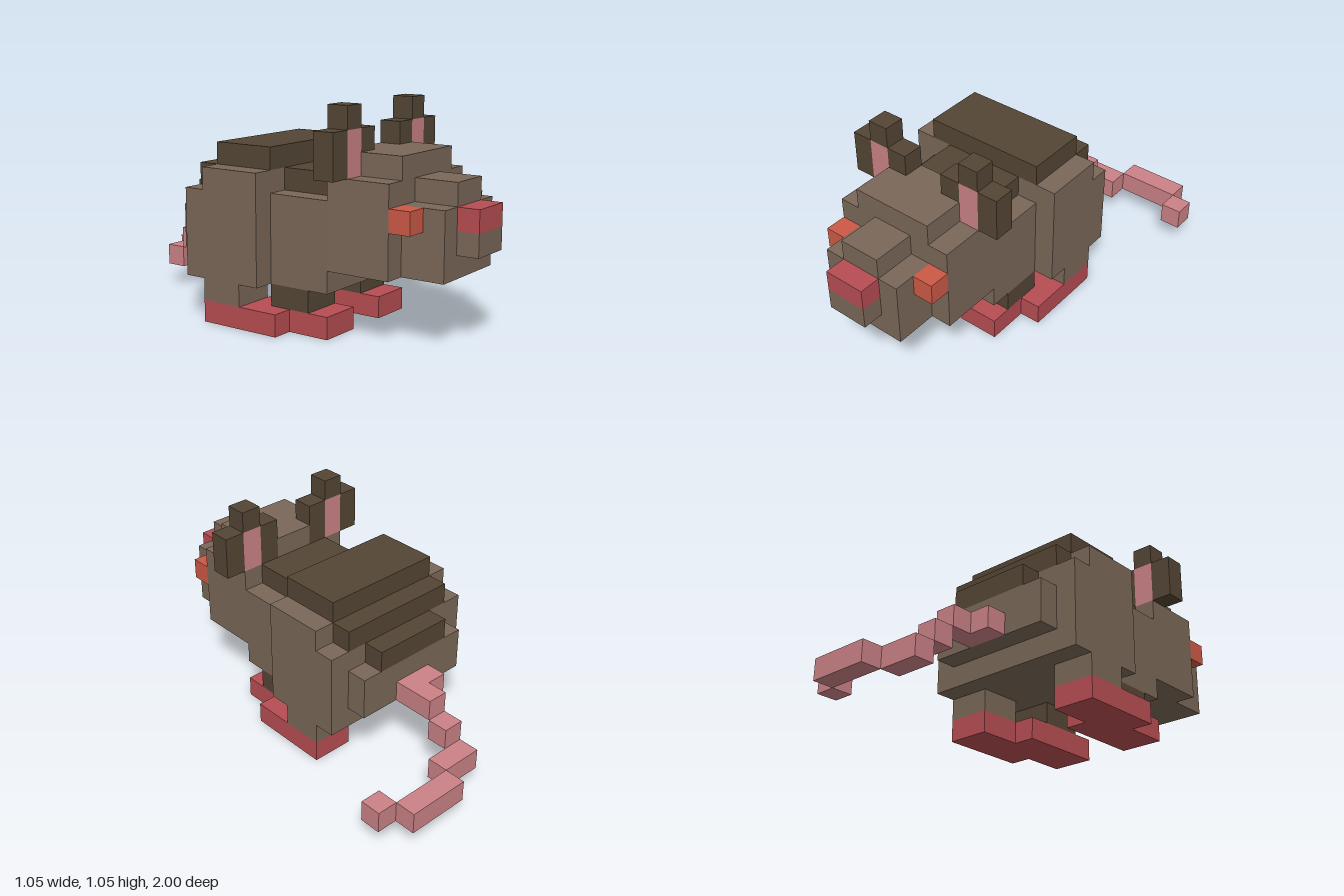
import * as THREE from 'three';

const U = 2 / 19; // one block

const mat = (name, color) => {
  const m = new THREE.MeshStandardMaterial({ color });
  m.name = name;
  return m;
};

export function createModel() {
  const root = new THREE.Group();
  root.name = 'blockRodent';

  const fur = mat('brown fur', 0x7a6758);
  const dark = mat('dark fur', 0x534534);
  const pink = mat('pink skin', 0xca8186);
  const red = mat('red paws and nose', 0xb64d52);
  const orange = mat('orange eyes', 0xcc5946);

  // Box from block ranges: x, y, and k = blocks counted back from the nose tip
  const block = (name, m, x0, x1, y0, y1, k0, k1) => {
    const g = new THREE.BoxGeometry((x1 - x0) * U, (y1 - y0) * U, (k1 - k0) * U);
    const mesh = new THREE.Mesh(g, m);
    mesh.position.set((x0 + x1) / 2 * U, (y0 + y1) / 2 * U, 1 - (k0 + k1) / 2 * U);
    mesh.name = name;
    root.add(mesh);
  };
  // The body is symmetric about x = -1
  const centred = (name, m, w, ...r) => block(name, m, -1 - w / 2, -1 + w / 2, ...r);
  const pair = (name, m, x0, x1, ...r) => {
    block(name + 'Left', m, x0, x1, ...r);
    block(name + 'Right', m, -2 - x1, -2 - x0, ...r);
  };

  // Head
  centred('noseTip', red, 2, 5, 6, 0, 1);
  centred('mouth', fur, 2, 4, 5, 0, 1);
  centred('muzzle', fur, 4, 3, 6, 1, 3);
  centred('noseBridge', fur, 2, 6, 7, 1, 3);
  centred('head', fur, 6, 3, 7, 3, 6);
  centred('crown', fur, 4, 7, 8, 3, 5);
  centred('crownBack', fur, 2, 7, 8, 5, 6);
  pair('eye', orange, 1, 2, 5, 6, 2, 3);

  // Ears
  pair('earInnerEdge', dark, 0, 1, 7, 9, 5, 6);
  pair('earCentre', pink, 1, 2, 7, 9, 5, 6);
  pair('earOuterEdge', dark, 2, 3, 7, 9, 5, 6);
  pair('earTip', dark, 1, 2, 9, 10, 5, 6);

  // Body
  centred('chest', fur, 6, 2, 6, 6, 9);
  centred('haunches', fur, 8, 2, 7, 9, 12);
  centred('hindquarters', fur, 8, 2, 6, 12, 13);
  centred('rump', fur, 6, 3, 5, 13, 14);

  // Dark stripe along the back
  centred('shoulderStripe', dark, 4, 6, 7, 6, 9);
  centred('backStripe', dark, 6, 7, 8, 9, 12);
  centred('hindStripe', dark, 6, 6, 7, 12, 13);
  centred('rumpStripe', dark, 4, 5, 6, 13, 14);

  // Legs and paws
  pair('frontLeg', dark, 0, 2, 1, 2, 7, 9);
  pair('hindLeg', fur, 1, 3, 1, 2, 10, 12);
  pair('frontPaw', red, 0, 2, 0, 1, 6, 10);
  pair('hindPaw', red, 2, 3, 0, 1, 8, 12);
  pair('hindPawInner', red, 1, 2, 0, 1, 10, 12);

  // Tail
  [
    [-2, 0, 3, 4, 14, 15],
    [-1, 0, 3, 4, 15, 16],
    [-1, 0, 2, 3, 16, 17],
    [-1, 1, 1, 2, 17, 18],
    [1, 4, 1, 2, 18, 19],
    [4, 5, 1, 2, 17, 18],
  ].forEach((r, i) => block('tailSegment' + (i + 1), pink, ...r));

  return root;
}
